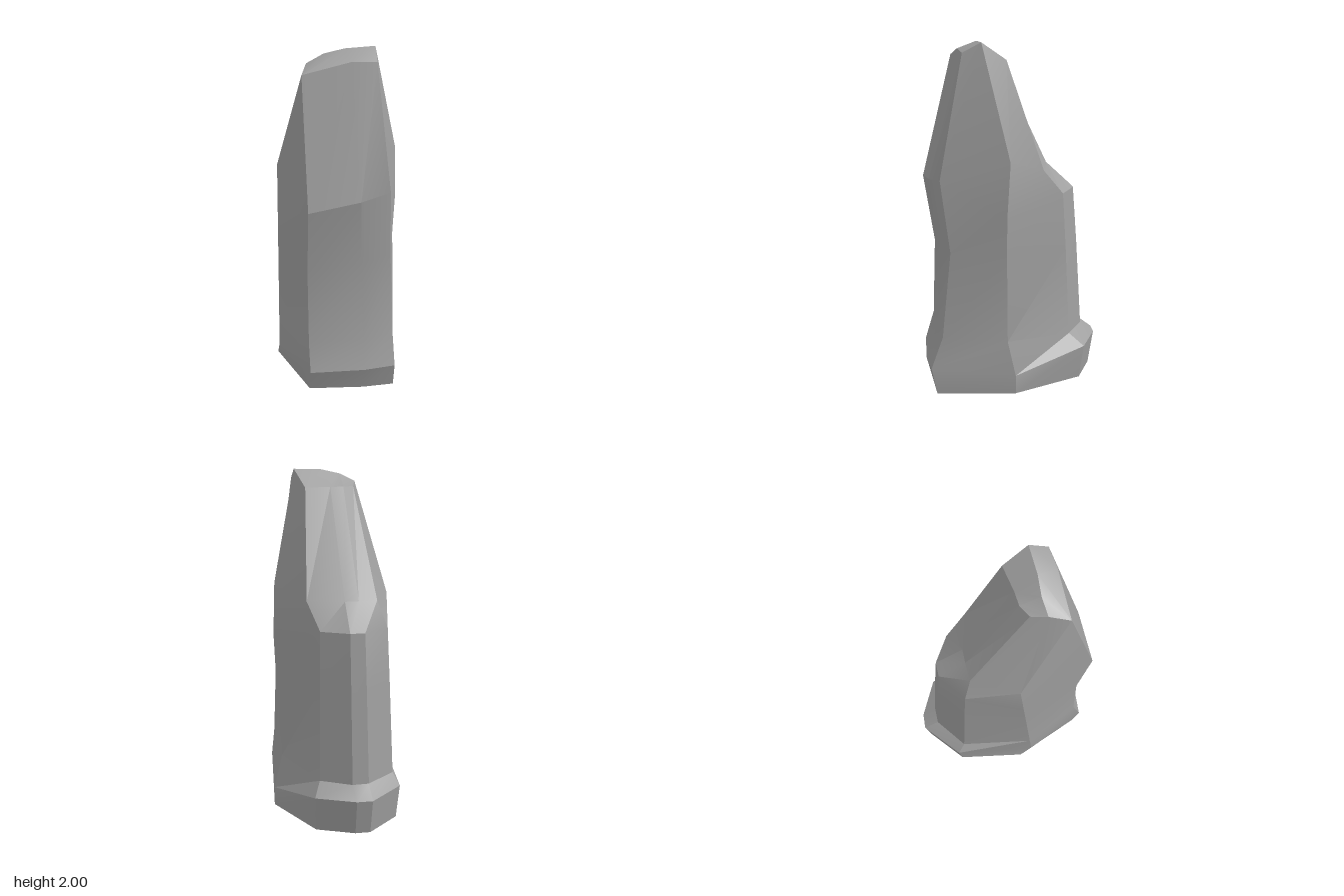
import * as THREE from 'three';
import { toCreasedNormals } from 'three/addons/utils/BufferGeometryUtils.js';

// Front face profile: height and depth at each level below the rim
const FRONT = [[0, .49], [.15, .528], [.33, .468], [.81, .432], [1.22, .487], [1.22, .487]];

// Left side ridge from the ground to its shoulder
const LEFT = [[.363, 0, .045], [.363, .11, .045], [.305, .3, .08], [.335, .83, .09], [.345, 1.05, .09], [.34, 1.36, .07]];

// Back outlines (x, z): foot, wall above it, start and end of the upper slope
const FOOT = [[-.295, -.355], [-.07, -.53], [.02, -.52], [.23, -.4]];
const WALL = [[-.265, -.31], [-.075, -.44], [.02, -.435], [.18, -.32]];
const SLOPE_FOOT = [[-.19, -.22], [-.08, -.22], [0, -.215], [.205, -.15]];
const SLOPE_TOP = [[-.15, .115], [-.08, .08], [0, .077], [.155, .055]];

// Back levels from the ground up: outline, height, width and depth scale
const BACK = [
  [FOOT, 0, .95, .94], [FOOT, .2, 1, 1], [WALL, .27, 1, 1], [WALL, .8, .94, .92],
  [WALL, 1.13, .9, .86], [SLOPE_FOOT, 1.28, 1, 1], [SLOPE_TOP, 1.9, 1, 1],
];

// Front edge of the top, and the crest line from the right to the left peak
const TOP_FRONT = [[.175, 1.945, .305], [.04, 1.957, .312], [-.225, 1.9, .31]];
const CREST = [[-.185, 1.925, .2], [-.09, 1.97, .19], [.02, 1.995, .2], [.185, 2, .2]];

// Three front corners at one level: the left one tapers, heights rise to the left
function frontCorners([y, z]) {
  const corner = (x, dz) => [x, y + .15 * x * Math.min(y, 1), z + dz];
  return [
    corner(.27 - .025 * y * y, -.04 * Math.sin(y * 1.3)),
    corner(.09 - .018 * y * y, 0),
    corner(-.225, -.04 * Math.max(0, 1 - y)),
  ];
}

// The right side ridge leans inwards and backwards, and is undercut at the ground
function rightCorner(y) {
  const t = y / 1.28;
  return [-.365 + .03 * t, y, .13 - .1 * t - .8 * Math.max(0, .1 - y)];
}

// Cross-sections from the ground to the rim, then the crest that closes them
function buildSections() {
  const [rightPeak, midRight, midLeft, leftPeak] = CREST;
  const back = BACK.map(([outline, y, sx, sz]) => outline.map(([x, z]) => [x * sx, y, z * sz]));
  const sections = FRONT.map((front, level) => {
    const left = LEFT[level];
    return [...frontCorners(front), rightCorner(left[1] * .94), ...back[level], left];
  });
  sections.push([...TOP_FRONT, rightPeak, ...back[6], leftPeak]);
  sections.push([leftPeak, midLeft, midRight, rightPeak, rightPeak, midRight, midLeft, leftPeak, leftPeak]);
  return sections;
}

// Joins the sections into walls, closes the underside, keeps the ridges sharp
function loftGeometry(sections) {
  const positions = [];
  const same = (p, q) => p.every((v, k) => v === q[k]);
  const addTriangle = (a, b, c) => {
    if (!same(a, b) && !same(b, c) && !same(a, c)) positions.push(...a, ...b, ...c);
  };
  const n = sections[0].length;
  for (let i = 0; i < n; i++) {
    const j = (i + 1) % n;
    addTriangle([0, 0, 0], sections[0][i], sections[0][j]);
    for (let r = 0; r < sections.length - 1; r++) {
      const low = sections[r], high = sections[r + 1];
      addTriangle(low[j], low[i], high[i]);
      addTriangle(low[j], high[i], high[j]);
    }
  }
  const geometry = new THREE.BufferGeometry();
  geometry.setAttribute('position', new THREE.Float32BufferAttribute(positions, 3));
  return toCreasedNormals(geometry, .36);
}

export function createModel() {
  const group = new THREE.Group();
  group.name = 'standingStone';
  const material = new THREE.MeshStandardMaterial({ color: 0xa0a0a0 });
  const stone = new THREE.Mesh(loftGeometry(buildSections()), material);
  stone.name = 'stonePillar';
  group.add(stone);
  return group;
}
